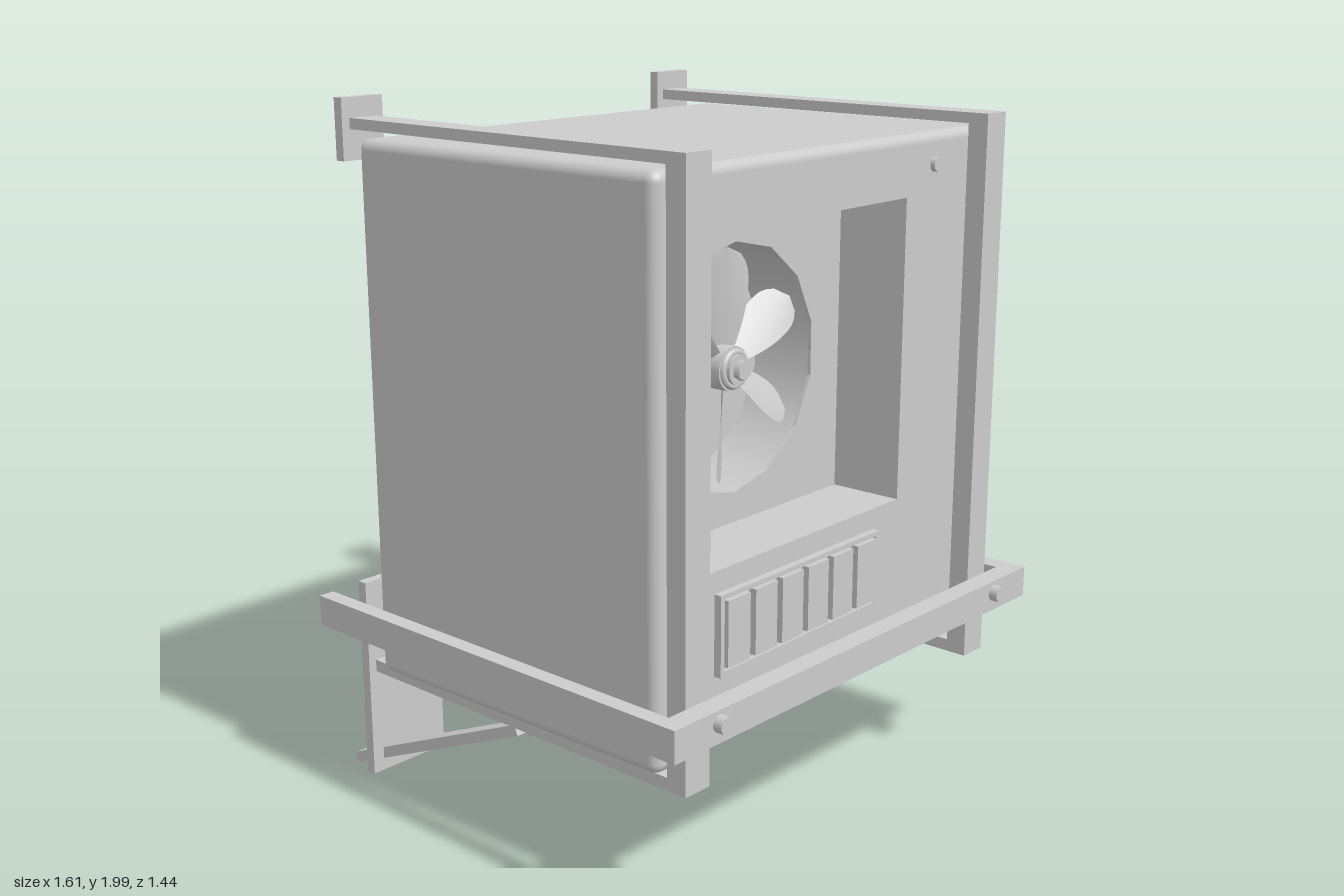
import * as THREE from 'three';
import { RoundedBoxGeometry } from 'three/addons/geometries/RoundedBoxGeometry.js';

const grey = new THREE.MeshStandardMaterial({ color: 0xcccccc });
const thin = new THREE.MeshStandardMaterial({ color: 0xcccccc, side: THREE.DoubleSide });

function add(parent, name, geo, x = 0, y = 0, z = 0, mat = grey) {
  const m = new THREE.Mesh(geo, mat);
  m.name = name;
  m.position.set(x, y, z);
  parent.add(m);
  return m;
}

// Box given by its limits on each axis
function box(parent, name, x0, x1, y0, y1, z0, z1) {
  return add(parent, name, new THREE.BoxGeometry(x1 - x0, y1 - y0, z1 - z0),
    (x0 + x1) / 2, (y0 + y1) / 2, (z0 + z1) / 2);
}

// Cylinder along z, running from z0 to z1
function rod(parent, name, r, x, y, z0, z1, sides = 16) {
  const g = new THREE.CylinderGeometry(r, r, z1 - z0, sides).rotateX(Math.PI / 2);
  return add(parent, name, g, x, y, (z0 + z1) / 2);
}

const poly = (pts, Type = THREE.Shape) => new Type(pts.map(p => new THREE.Vector2(...p)));
const rect = (x0, x1, y0, y1, Type) => poly([[x0, y0], [x1, y0], [x1, y1], [x0, y1]], Type);

function plate(outline, hole, depth) {
  if (hole) outline.holes.push(hole);
  return new THREE.ExtrudeGeometry(outline, { depth, bevelEnabled: false });
}

const W = 1.435, Y0 = 0.38, Y1 = 1.9, D = 1.06, R = 0.03, F = D / 2;
const FX = -0.15, FY = 1.3, FR = 0.345;

// Rounded casing with the flat front removed, so that the front panel can have an opening
function casing(body) {
  const src = new RoundedBoxGeometry(W, Y1 - Y0, D, 3, R);
  const p = src.attributes.position, n = src.attributes.normal, pos = [], nor = [];
  for (let i = 0; i < p.count; i += 3) {
    if ([0, 1, 2].every(k => p.getZ(i + k) > F - 1e-4)) continue;
    for (let k = i; k < i + 3; k++) {
      pos.push(p.getX(k), p.getY(k), p.getZ(k));
      nor.push(n.getX(k), n.getY(k), n.getZ(k));
    }
  }
  const g = new THREE.BufferGeometry();
  g.setAttribute('position', new THREE.Float32BufferAttribute(pos, 3));
  g.setAttribute('normal', new THREE.Float32BufferAttribute(nor, 3));
  add(body, 'casing', g, 0, (Y0 + Y1) / 2, 0);

  const e = W / 2 - R;
  add(body, 'frontPanel', plate(rect(-e, e, Y0 + R, Y1 - R),
    rect(-0.615, 0.315, 0.87, 1.73, THREE.Path), 0.22), 0, 0, F - 0.22);
  for (const x of [-0.535, 0.445]) rod(body, 'panelScrew', 0.021, x, 1.81, F - 0.01, F + 0.015);
}

// Fan in a faceted round well at the back of the recess
function fan(body) {
  const zp = F - 0.22, ring = [];
  for (let i = 0; i < 14; i++) {
    const a = Math.PI / 2 + i / 14 * Math.PI * 2;
    ring.push([FX + FR * Math.cos(a), FY + FR * Math.sin(a)]);
  }
  add(body, 'fanPlate', plate(rect(-0.63, 0.33, 0.86, 1.74), poly(ring, THREE.Path), 0.01), 0, 0, zp - 0.01);
  const well = new THREE.CylinderGeometry(FR, FR, 0.2, 14, 1, true).rotateX(Math.PI / 2);
  add(body, 'fanWell', well, FX, FY, zp - 0.1, thin);
  add(body, 'fanWellBack', new THREE.CircleGeometry(FR + 0.01, 28), FX, FY, zp - 0.2);

  // Petal blade, twisted more strongly near the hub
  const blade = new THREE.PlaneGeometry(2, 1, 6, 14);
  const v = blade.attributes.position;
  for (let i = 0; i < v.count; i++) {
    const t = v.getY(i) + 0.5, s = v.getX(i);
    const half = t < 0.72 ? 0.018 + 0.037 * Math.sin(t / 0.72 * Math.PI / 2)
      : 0.055 * Math.sqrt(Math.max(0, 1 - ((t - 0.72) / 0.28) ** 2));
    const x = s * half;
    v.setXYZ(i, x + 0.012 * t, 0.04 + 0.285 * t, x * (0.95 - 0.35 * t) - 0.12 * x * s);
  }
  blade.computeVertexNormals();
  for (let i = 0; i < 6; i++) {
    add(body, 'fanBlade', blade, FX, FY, zp - 0.04, thin).rotation.z = i * Math.PI / 3;
  }
  rod(body, 'fanShaft', 0.035, FX, FY, zp - 0.2, zp);
  rod(body, 'fanHub', 0.062, FX, FY, zp - 0.075, zp - 0.005, 24);
  add(body, 'hubRing', new THREE.TorusGeometry(0.047, 0.01, 8, 24), FX, FY, zp - 0.003);
  rod(body, 'hubCap', 0.042, FX, FY, zp - 0.01, zp + 0.015, 20);
  rod(body, 'hubNut', 0.028, FX, FY, zp, zp + 0.035, 6);
}

// Control panel with a row of six keys
function controls(body) {
  box(body, 'controlBase', -0.495, 0.2, 0.585, 0.81, F - 0.01, F + 0.008);
  add(body, 'controlFrame', plate(rect(-0.495, 0.2, 0.585, 0.81),
    rect(-0.48, 0.185, 0.6, 0.797, THREE.Path), 0.022), 0, 0, F);
  for (let i = 0; i < 6; i++) {
    const x = -0.475 + i * 0.1125;
    box(body, 'controlKey', x, x + 0.09, 0.61, 0.793, F, F + 0.03);
  }
}

// Side vent: notched frame and tilted slats
function vent(body) {
  const g = new THREE.Group();
  g.name = 'sideVent';
  g.position.set(W / 2 - 0.005, 0, -0.03);
  g.rotation.y = Math.PI / 2;
  body.add(g);
  const o = -0.01;
  const outer = poly([[-0.38 + o, 0.835], [0.31 + o, 0.835], [0.31 + o, 1.63], [-0.085 + o, 1.63], [-0.085 + o, 1.74], [-0.38 + o, 1.74]]);
  const inner = poly([[-0.335 + o, 0.88], [0.26 + o, 0.88], [0.26 + o, 1.59], [-0.13 + o, 1.59], [-0.13 + o, 1.72], [-0.335 + o, 1.72]], THREE.Path);
  add(g, 'ventFrame', plate(outer, inner, 0.05));
  for (let y = 0.9; y < 1.71; y += 0.0305) {
    const end = y < 1.58 ? 0.26 : -0.13;
    box(g, 'ventSlat', -0.335 + o, end + o, y - 0.003, y + 0.003, 0.006, 0.038).rotation.x = 0.5;
  }
}

// Rimmed wall plate, hollow at the back
function wallPlate(parent, name, x0, x1, y0, y1) {
  box(parent, name, x0, x1, y0, y1, -0.6, -0.585);
  const b = 0.014;
  add(parent, name + 'Rim', plate(rect(x0, x1, y0, y1),
    rect(x0 + b, x1 - b, y0 + b, y1 - b, THREE.Path), 0.017), 0, 0, -0.616);
}

// One side of the mounting bracket, centred on x
function bracket(parent, x, left) {
  const g = new THREE.Group();
  g.name = left ? 'leftBracket' : 'rightBracket';
  parent.add(g);
  const a = x - 0.045, b = x + 0.045;
  box(g, 'frontPost', a, b, 0.34, 1.945, 0.57, 0.632);
  box(g, 'topBar', a, b, 1.915, 1.945, -0.6, 0.57);
  box(g, 'bottomBar', a, b, 0.34, 0.376, -0.6, 0.57);
  box(g, 'topBarEnd', x - 0.035, x + 0.035, 1.918, 1.94, -0.625, -0.6);
  box(g, 'bottomBarEnd', x - 0.035, x + 0.035, 0.345, 0.37, -0.622, -0.6);
  wallPlate(g, 'upperWallPlate', x - 0.07, x + 0.07, 1.83, 2);
  wallPlate(g, 'lowerWallPlate', x - 0.07, x + 0.2, 0.02, 0.62);
  // Diagonal brace and its bolted tab
  const dz = 0.71, dy = 0.305;
  const brace = add(g, 'brace', new THREE.BoxGeometry(0.065, 0.032, Math.hypot(dz, dy)), x, 0.173, -0.357);
  brace.rotation.x = -Math.atan2(dy, dz);
  box(g, 'braceTab', x - 0.0325, x + 0.0325, 0.332, 0.345, -0.03, 0.085);
  add(g, 'braceBolt', new THREE.CylinderGeometry(0.023, 0.023, 0.02, 12), x, 0.33, 0.045);
  rod(g, 'railBolt', 0.024, x + (left ? 0 : 0.01), 0.545, 0.69, 0.722);
}

export function createModel() {
  const model = new THREE.Group();
  model.name = 'bracketedCoolerUnit';

  // The casing sits slightly askew in its bracket
  const body = new THREE.Group();
  body.name = 'body';
  body.position.set(-0.015, 0, 0.017);
  body.rotation.y = 0.018;
  model.add(body);
  casing(body);
  fan(body);
  controls(body);
  vent(body);

  bracket(model, -0.65, false);
  bracket(model, 0.6, true);

  // U-shaped guard rail
  box(model, 'frontRail', -0.805, 0.77, 0.49, 0.58, 0.632, 0.695);
  box(model, 'rightRail', -0.805, -0.757, 0.49, 0.58, -0.69, 0.632);
  box(model, 'leftRail', 0.712, 0.77, 0.49, 0.58, -0.685, 0.632);
  return model;
}
